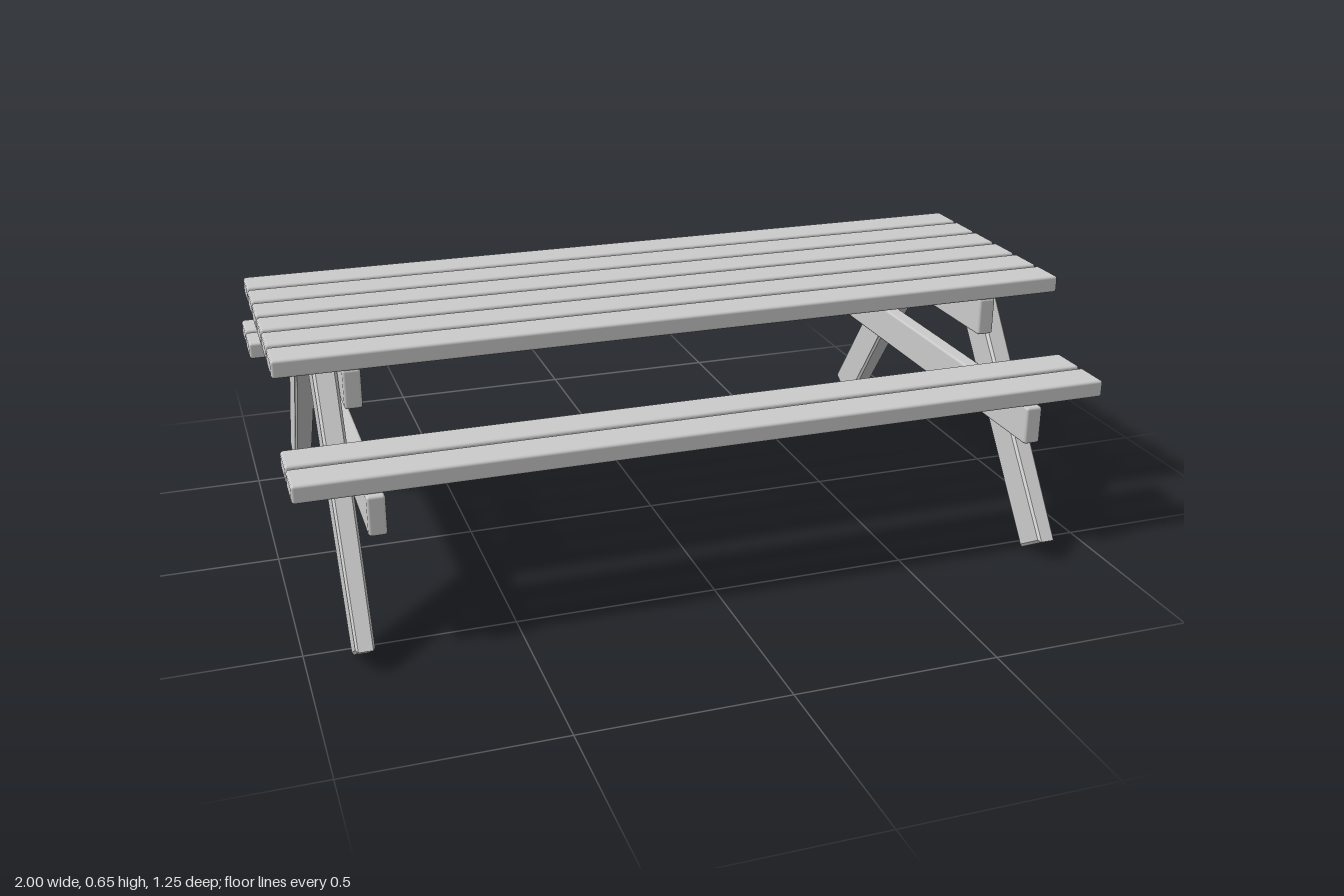
import * as THREE from 'three';
import { RoundedBoxGeometry } from 'three/addons/geometries/RoundedBoxGeometry.js';

const wood = new THREE.MeshStandardMaterial({ color: 0xcccccc });
const BEVEL = 0.007;

// Softly bevelled beam given by its centre and size
function beam(name, size, position) {
  const mesh = new THREE.Mesh(new RoundedBoxGeometry(...size, 1, BEVEL), wood);
  mesh.name = name;
  mesh.position.set(...position);
  return mesh;
}

// Splayed leg: side outline as (z, y), bevelled, slightly thinner at the foot
function legGeometry() {
  const outline = [[0.532, 0], [0.623, 0.057], [0.215, 0.61], [0.092, 0.61]];
  const shape = new THREE.Shape(outline.map(([z, y]) => new THREE.Vector2(z, y)));
  const thickness = 0.058;
  const geometry = new THREE.ExtrudeGeometry(shape, {
    depth: thickness - 2 * BEVEL, bevelEnabled: true, bevelSegments: 1,
    bevelThickness: BEVEL, bevelSize: BEVEL, bevelOffset: -BEVEL,
  });
  geometry.translate(0, 0, BEVEL - thickness / 2);
  geometry.rotateY(-Math.PI / 2);
  const p = geometry.attributes.position;
  for (let i = 0; i < p.count; i++) {
    p.setX(i, p.getX(i) * THREE.MathUtils.lerp(0.74, 1, p.getY(i) / 0.61));
  }
  geometry.computeVertexNormals();
  return geometry;
}

export function createModel() {
  const table = new THREE.Group();
  table.name = 'picnicTable';

  // Table top of six planks
  const top = new THREE.Group();
  top.name = 'tableTop';
  for (let i = 0; i < 6; i++) {
    top.add(beam('topPlank', [2, 0.044, 0.097], [0, 0.633, (i - 2.5) * 0.111]));
  }
  table.add(top);

  // Two benches of two planks each
  for (const side of [1, -1]) {
    const bench = new THREE.Group();
    bench.name = side > 0 ? 'frontBench' : 'backBench';
    for (const z of [0.414, 0.524]) {
      bench.add(beam('benchPlank', [2, 0.044, 0.097], [0, 0.435, side * z]));
    }
    table.add(bench);
  }

  // End frames: crossed legs with the two rails on their inner faces
  const leg = legGeometry();
  const frames = [
    { name: 'leftFrame', legX: 0.852, railX: 0.804 },
    { name: 'rightFrame', legX: -0.872, railX: -0.821 },
  ];
  for (const { name, legX, railX } of frames) {
    const frame = new THREE.Group();
    frame.name = name;
    for (const side of [1, -1]) {
      const mesh = new THREE.Mesh(leg, wood);
      mesh.name = side > 0 ? 'frontLeg' : 'backLeg';
      mesh.position.x = legX;
      mesh.rotation.y = side > 0 ? 0 : Math.PI;
      frame.add(mesh);
    }
    frame.add(beam('topRail', [0.043, 0.097, 0.638], [railX, 0.563, 0]));
    frame.add(beam('benchRail', [0.043, 0.097, 1.168], [railX, 0.365, 0]));
    table.add(frame);
  }
  return table;
}
